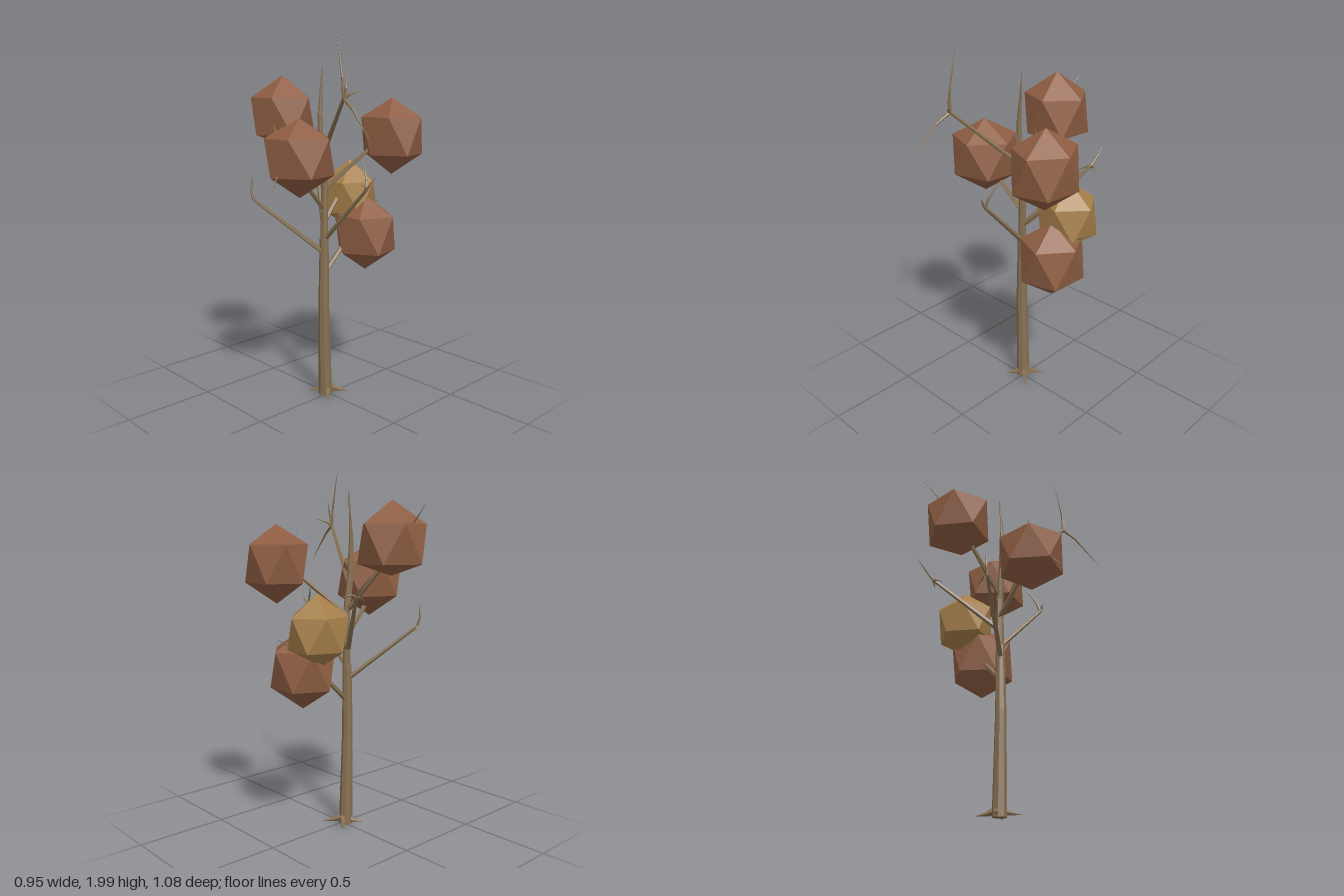
import * as THREE from 'three';

const mat = (color) => new THREE.MeshStandardMaterial({ color, flatShading: true });
const bark = mat(0x877052);
const russet = mat(0x8f5e43);
const gold = mat(0xa57f4a);
const UP = new THREE.Vector3(0, 1, 0);

// Tapered limb through a list of points, one radius per point
function limb(name, points, radii, sides) {
  const pts = points.map((p) => new THREE.Vector3(...p));
  const last = pts.length - 1;
  const turns = pts.map((p, i) => {
    const dir = pts[Math.min(i + 1, last)].clone().sub(pts[Math.max(i - 1, 0)]).normalize();
    return new THREE.Quaternion().setFromUnitVectors(UP, dir);
  });
  const geo = new THREE.CylinderGeometry(1, 1, 1, sides, last);
  const pos = geo.attributes.position;
  const v = new THREE.Vector3();
  for (let i = 0; i < pos.count; i++) {
    const row = Math.round((pos.getY(i) + 0.5) * last);
    v.set(pos.getX(i), 0, pos.getZ(i)).multiplyScalar(radii[row]);
    v.applyQuaternion(turns[row]).add(pts[row]);
    pos.setXYZ(i, v.x, v.y, v.z);
  }
  geo.computeVertexNormals();
  const mesh = new THREE.Mesh(geo, bark);
  mesh.name = name;
  return mesh;
}

// Faceted clump: an icosahedron on its corner, its four corner levels set by height
function clump({ name, x, z, rx, rz, levels, material }) {
  const geo = new THREE.IcosahedronGeometry(1, 0);
  geo.rotateZ(-Math.atan(2 / (1 + Math.sqrt(5))));
  geo.rotateY(-0.07);
  const pos = geo.attributes.position;
  for (let i = 0; i < pos.count; i++) {
    const y = pos.getY(i);
    const level = y > 0.9 ? 0 : y > 0 ? 1 : y > -0.9 ? 2 : 3;
    pos.setXYZ(i, x + rx * pos.getX(i), levels[level], z + rz * pos.getZ(i));
  }
  geo.computeVertexNormals();
  const mesh = new THREE.Mesh(geo, material);
  mesh.name = name;
  return mesh;
}

// Branch: start, end and the tips of the twigs forking from its end
const branches = [
  { name: 'frontLeftBareBranch', from: [-0.04, 1.37, -0.01], to: [-0.2, 1.69, 0.315],
    twigs: [[-0.245, 1.5, 0.535], [-0.2, 1.99, 0.265], [-0.175, 1.83, 0.32], [-0.13, 1.73, 0.37]] },
  { name: 'frontBareBranch', from: [-0.015, 0.92, -0.01], to: [0, 1.22, 0.28],
    twigs: [[0.02, 1.29, 0.325], [0.05, 1.37, 0.21], [-0.025, 1.25, 0.27]] },
  { name: 'backRightBareBranch', from: [-0.015, 1.02, -0.03], to: [0.2, 1.33, -0.32],
    twigs: [[0.205, 1.44, -0.43], [0.265, 1.33, -0.28], [0.13, 1.3, -0.31]] },
  { name: 'backLeftBareBranch', from: [-0.03, 0.85, -0.02], to: [-0.3, 1.14, -0.28],
    twigs: [[-0.24, 1.1, -0.3], [-0.3, 1.27, -0.29]] },
  { name: 'topBranch', from: [-0.02, 1.23, -0.02], to: [-0.08, 1.58, -0.34],
    twigs: [[-0.05, 1.775, -0.54], [-0.13, 1.75, -0.32]] },
  { name: 'rightBranch', from: [-0.01, 1.2, -0.02], to: [0.24, 1.46, 0.15],
    twigs: [[0.21, 1.65, 0.13]] },
  { name: 'leftBranch', from: [-0.02, 1.09, -0.02], to: [-0.32, 1.39, 0.02],
    twigs: [[-0.47, 1.23, 0.085], [-0.34, 1.56, -0.05]] },
  { name: 'goldBranch', from: [-0.01, 1.02, -0.02], to: [0.17, 1.19, -0.06], twigs: [] },
  { name: 'lowBranch', from: [-0.02, 0.72, -0.015], to: [0.28, 1.0, -0.02],
    twigs: [[0.46, 1.11, -0.02]] },
];

// Leaf clumps: centre, radii, and heights of top, upper ring, lower ring and bottom
const clumps = [
  { name: 'topClump', x: -0.05, z: -0.32, rx: 0.205, rz: 0.192, levels: [1.81, 1.687, 1.485, 1.425], material: russet },
  { name: 'rightClump', x: 0.315, z: 0.175, rx: 0.18, rz: 0.2, levels: [1.69, 1.585, 1.383, 1.27], material: russet },
  { name: 'leftClump', x: -0.245, z: 0.04, rx: 0.205, rz: 0.2, levels: [1.59, 1.49, 1.297, 1.18], material: russet },
  { name: 'goldClump', x: 0.247, z: -0.082, rx: 0.183, rz: 0.172, levels: [1.337, 1.217, 1.04, 0.942], material: gold },
  { name: 'lowClump', x: 0.252, z: 0.04, rx: 0.19, rz: 0.2, levels: [1.14, 1.03, 0.825, 0.708], material: russet },
];

export function createModel() {
  const tree = new THREE.Group();
  tree.name = 'tree';

  // Trunk: thick lower stem and slender bent leader
  tree.add(limb('lowerTrunk',
    [[-0.012, 0, -0.015], [-0.024, 0.55, -0.015], [-0.02, 0.92, -0.015]],
    [0.039, 0.03, 0.025], 8));
  tree.add(limb('upperTrunk',
    [[-0.02, 0.9, -0.015], [-0.016, 1.2, -0.015], [-0.042, 1.42, -0.018], [-0.046, 1.6, -0.02], [-0.026, 1.865, -0.022]],
    [0.022, 0.02, 0.018, 0.013, 0.001], 7));

  // Roots splayed around the foot
  for (let i = 0; i < 4; i++) {
    const a = Math.PI / 4 + (i * Math.PI) / 2;
    const out = (r, y) => [0.004 + r * Math.cos(a), y, -0.012 + r * Math.sin(a)];
    tree.add(limb('root', [out(0.015, 0.035), out(0.06, 0.02), out(0.118, 0.012)], [0.022, 0.012, 0.001], 5));
  }

  // Branches with forked twigs that first follow the bough, then bend away
  for (const { name, from, to, twigs } of branches) {
    const group = new THREE.Group();
    group.name = name;
    group.add(limb('bough', [from, to], [0.015, 0.009], 5));
    for (const tip of twigs) {
      const mid = to.map((c, k) => c + (tip[k] - c) * 0.3 + (c - from[k]) * 0.03);
      group.add(limb('twig', [to, mid, tip], [0.009, 0.006, 0.0008], 5));
    }
    tree.add(group);
  }

  // Leaf clumps
  for (const spec of clumps) tree.add(clump(spec));
  return tree;
}
